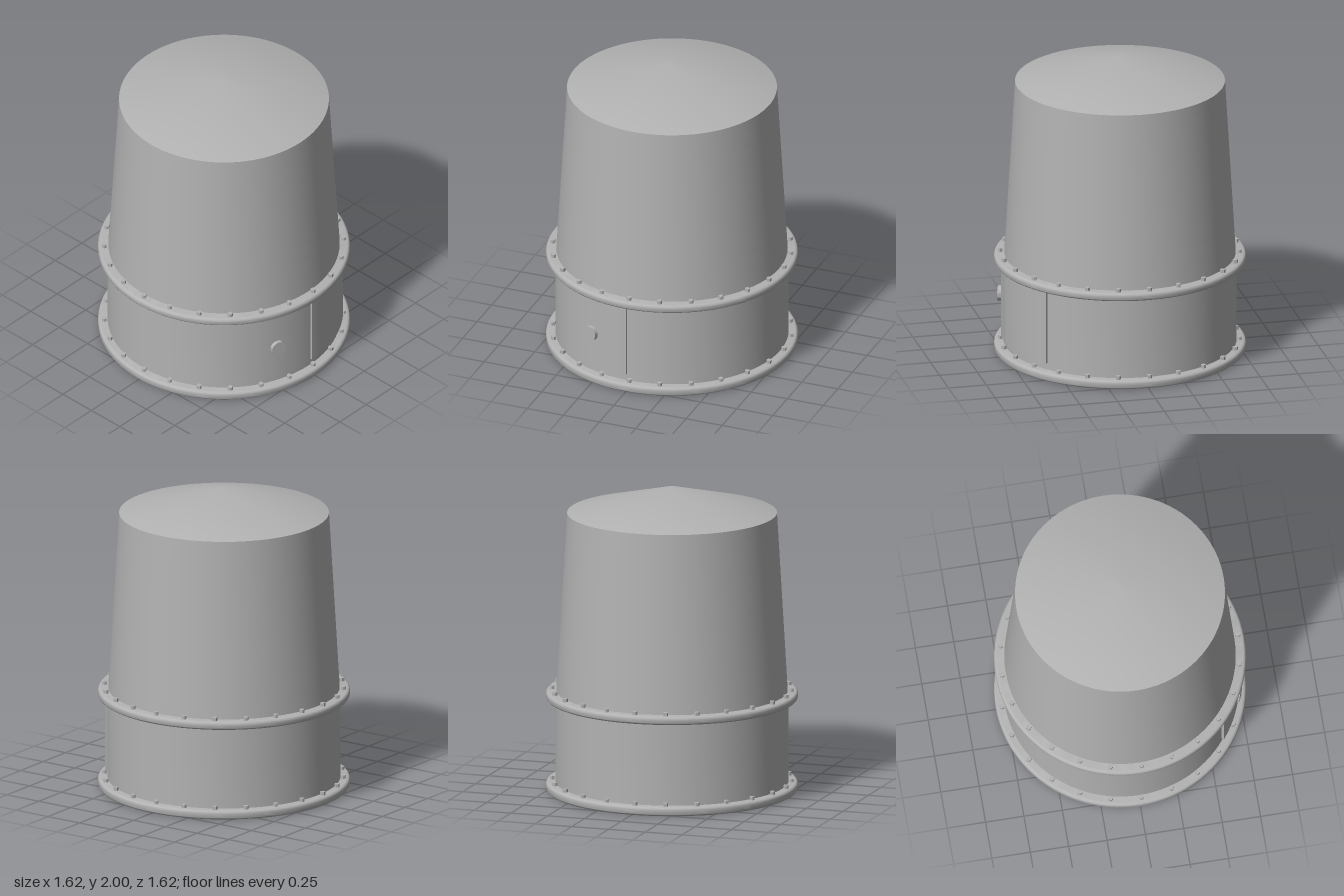
import * as THREE from 'three';
import { toCreasedNormals } from 'three/addons/utils/BufferGeometryUtils.js';

const SIDES = 96;

export function createModel() {
  const model = new THREE.Group();
  model.name = 'steelTank';
  const steel = new THREE.MeshStandardMaterial({ color: 0xb2b2b2 });
  steel.name = 'steelGrey';

  const add = (name, geometry, parent = model) => {
    const mesh = new THREE.Mesh(geometry, steel);
    mesh.name = name;
    parent.add(mesh);
    return mesh;
  };
  // Profiles run from the bottom to the top as [radius, height]
  const turned = (profile) => toCreasedNormals(
    new THREE.LatheGeometry(profile.map(([r, y]) => new THREE.Vector2(r, y)), SIDES), 0.5);

  // Lower drum, tapered hood and shallow conical roof
  add('lowerDrum', turned([[0.75, 0.04], [0.75, 0.62]]));
  add('taperedHood', turned([[0.745, 0.64], [0.675, 1.825]]));
  add('conicalRoof', toCreasedNormals(
    new THREE.ConeGeometry(0.675, 0.175, SIDES).translate(0, 1.9125, 0), 0.5));

  // Flanges with rounded rims, each carrying a ring of hexagonal bolts
  const boltGeometry = new THREE.CylinderGeometry(0.017, 0.017, 0.03, 6).toNonIndexed();
  boltGeometry.computeVertexNormals();
  const addFlange = (name, bottom, height) => {
    const flange = new THREE.Group();
    flange.name = name;
    const rim = 0.02;
    const profile = [[0, 0]];
    for (let i = 0; i <= 5; i++) {
      const a = (i / 5) * Math.PI / 2;
      profile.push([0.79 + rim * Math.sin(a), rim - rim * Math.cos(a)]);
    }
    for (let i = 0; i <= 5; i++) {
      const a = (i / 5) * Math.PI / 2;
      profile.push([0.79 + rim * Math.cos(a), height - rim + rim * Math.sin(a)]);
    }
    profile.push([0, height]);
    add(name + 'Plate', turned(profile), flange);
    for (let i = 0; i < 24; i++) {
      const a = (i * 15 - 1) * Math.PI / 180;
      const bolt = add(name + 'Bolt', boltGeometry, flange);
      bolt.position.set(0.77 * Math.cos(a), height + 0.007, 0.77 * Math.sin(a));
      bolt.rotation.y = -a;
    }
    flange.position.y = bottom;
    model.add(flange);
  };
  addFlange('baseFlange', 0, 0.06);
  addFlange('middleFlange', 0.6, 0.055);

  // Pair of curved doors on the left side of the drum
  const addDoor = (name, start, end) => {
    const shape = new THREE.Shape();
    shape.absarc(0, 0, 0.766, start, end, false);
    shape.absarc(0, 0, 0.74, end, start, true);
    const geometry = new THREE.ExtrudeGeometry(shape, {
      depth: 0.485, bevelEnabled: false, curveSegments: 20,
    });
    geometry.rotateX(-Math.PI / 2).translate(0, 0.105, 0);
    add(name, toCreasedNormals(geometry, 0.5));
  };
  addDoor('frontDoor', -0.677, -0.013);
  addDoor('rearDoor', 0.013, 0.67);

  // Round knob pointing outward from the front door
  const knobAngle = 0.355;
  const knob = new THREE.Group();
  knob.name = 'doorKnob';
  const knobDisc = add('knobDisc', toCreasedNormals(
    new THREE.CylinderGeometry(0.05, 0.05, 0.04, 32), 0.5), knob);
  knobDisc.rotation.z = -Math.PI / 2;
  knobDisc.position.x = 0.77;
  knob.position.y = 0.34;
  knob.rotation.y = -knobAngle;
  model.add(knob);

  return model;
}
